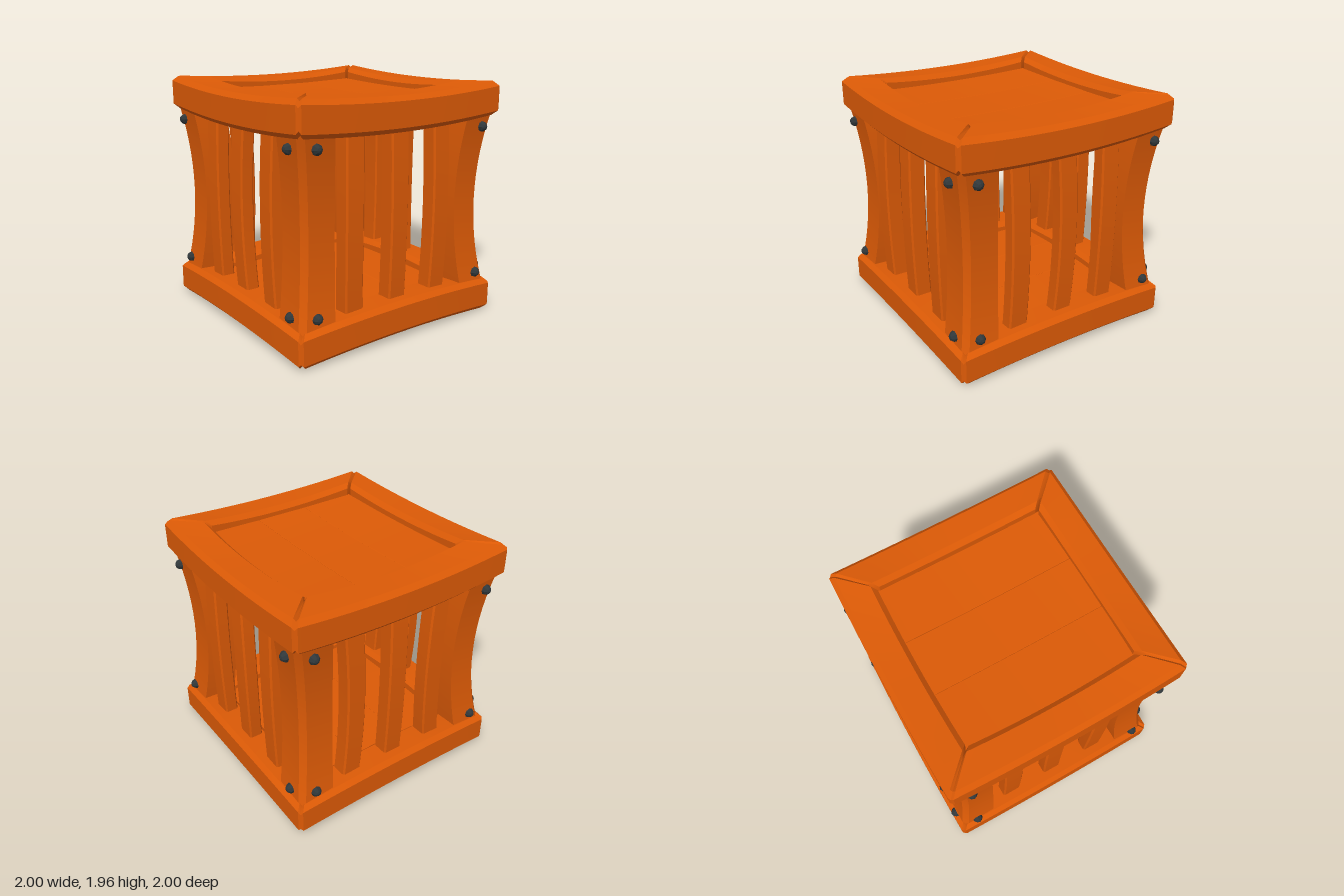
import * as THREE from 'three';
import { toCreasedNormals } from 'three/addons/utils/BufferGeometryUtils.js';

const wood = new THREE.MeshStandardMaterial({ color: 0xdc5a06 });
wood.name = 'orange wood';
const iron = new THREE.MeshStandardMaterial({ color: 0x30373a });
iron.name = 'dark iron';

const HEIGHT = 1.966;

// chamfered rectangle as eight [a, b] points
function section(a0, a1, b0, b1, c) {
  return [[a0 + c, b0], [a1 - c, b0], [a1, b0 + c], [a1, b1 - c],
    [a1 - c, b1], [a0 + c, b1], [a0, b1 - c], [a0, b0 + c]];
}

// closed solid through a list of rings of equal length, faces turned outwards
function loft(rings) {
  const n = rings[0].length, verts = rings.flat(), faces = [];
  for (let r = 0; r < rings.length - 1; r++) {
    for (let i = 0; i < n; i++) {
      const a = r * n + i, b = r * n + (i + 1) % n;
      faces.push([a, b, b + n], [a, b + n, a + n]);
    }
  }
  const last = (rings.length - 1) * n;
  for (let i = 1; i < n - 1; i++) {
    faces.push([0, i + 1, i], [last, last + i, last + i + 1]);
  }
  let volume = 0;
  for (const [a, b, c] of faces) volume += verts[a].dot(verts[b].clone().cross(verts[c]));
  if (volume < 0) faces.forEach((f) => f.reverse());
  const g = new THREE.BufferGeometry().setFromPoints(verts);
  g.setIndex(faces.flat());
  return toCreasedNormals(g, 0.45);
}

// point on the lid, or its mirror image on the floor
function lidPoint(x, y, z, isTop) {
  return new THREE.Vector3(x, isTop ? y : HEIGHT - y, z);
}

function steps(from, to, count) {
  return Array.from({ length: count + 1 }, (_, i) => from + (to - from) * i / count);
}

// mitred frame beam with raised ends, grooved along the mitre
function beam(isTop) {
  const us = [-1, ...steps(-0.972, 0.972, 14), 1];
  return loft(us.map((u) => {
    const inset = Math.abs(u) === 1 ? 0.022 : 0;
    const bulge = 0.015 * (1 - u * u), rise = 0.042 * u * u;
    return section(0.705 + inset, 0.985 - inset * 0.5, 1.651 + inset, 1.925 - inset, 0.038)
      .map(([d, y]) => lidPoint(u * d, y + rise, d + bulge, isTop));
  }));
}

// lid or floor board running front to back, gently dished
function plank(x0, x1, isTop) {
  return loft(steps(-0.74, 0.74, 10).map((z) =>
    section(x0, x1, 1.755, 1.865, 0.003)
      .map(([x, y]) => lidPoint(x, y + 0.03 * (x * x + z * z - 1), z, isTop))));
}

// 1 at mid height, 0 at both ends
const bow = (y) => 1 - ((y - HEIGHT / 2) / 0.735) ** 2;

// corner post, bent towards the middle of the cage, outer edge cut off
function post() {
  return loft(steps(0.25, HEIGHT - 0.25, 14).map((y) => {
    const o = 0.953 - 0.071 * bow(y), i = 0.652 - 0.044 * bow(y), c = o - 0.043;
    return [[i, i], [o, i], [o, c], [c, o], [i, o]]
      .map(([x, z]) => new THREE.Vector3(x, y, z));
  }));
}

// upright bar with a sideways and an outward bend
function bar(x, depth, side, out) {
  return loft(steps(0.25, HEIGHT - 0.25, 12).map((y) => {
    const cx = x + side * bow(y), face = 0.89 + out * bow(y);
    return section(cx - 0.084, cx + 0.084, face - depth, face, 0.013)
      .map(([px, pz]) => new THREE.Vector3(px, y, pz));
  }));
}

// domed bolt head facing +z
function bolt() {
  const profile = [[0, 0], [0.044, 0], [0.039, 0.02], [0.022, 0.039], [0, 0.047]];
  const dome = new THREE.LatheGeometry(profile.map(([r, h]) => new THREE.Vector2(r, h)), 8);
  return toCreasedNormals(dome.rotateX(Math.PI / 2), 0.1);
}

export function createModel() {
  const model = new THREE.Group();
  model.name = 'cage';
  const add = (parent, geometry, material, name) => {
    const mesh = new THREE.Mesh(geometry, material);
    mesh.name = name;
    parent.add(mesh);
    return mesh;
  };

  // lid and floor boards
  for (const isTop of [true, false]) {
    for (const [x0, x1] of [[-0.712, -0.235], [-0.234, 0.232], [0.234, 0.712]]) {
      add(model, plank(x0, x1, isTop), wood, isTop ? 'lidPlank' : 'floorPlank');
    }
  }

  // depth, sideways and outward bend of the three bars: front, left, back, right
  const bars = [
    [[0.14, -0.01, 0.02], [0.14, 0, 0.02], [0.14, 0.01, 0.02]],
    [[0.115, 0.015, 0.02], [0.115, 0.03, 0.02], [0.115, 0.005, 0.02]],
    [[0.14, 0.035, 0.01], [0.14, 0, 0.02], [0.14, -0.035, 0.01]],
    [[0.115, 0.005, 0.02], [0.115, -0.03, 0.02], [0.115, -0.015, 0.02]],
  ];
  const topBeam = beam(true), bottomBeam = beam(false), postShape = post(), boltShape = bolt();

  // four sides turned around the middle
  ['front', 'left', 'back', 'right'].forEach((sideName, k) => {
    const side = new THREE.Group();
    side.name = sideName + 'Side';
    side.rotation.y = k * Math.PI / 2;
    model.add(side);
    add(side, topBeam, wood, 'topBeam');
    add(side, bottomBeam, wood, 'bottomBeam');
    add(side, postShape, wood, 'cornerPost');
    [-0.425, 0, 0.425].forEach((x, i) => add(side, bar(x, ...bars[k][i]), wood, 'bar'));
    for (const x of [-0.813, 0.813]) {
      for (const y of [0.363, 1.608]) {
        add(side, boltShape, iron, 'bolt').position.set(x, y, 0.952);
      }
    }
  });
  return model;
}
